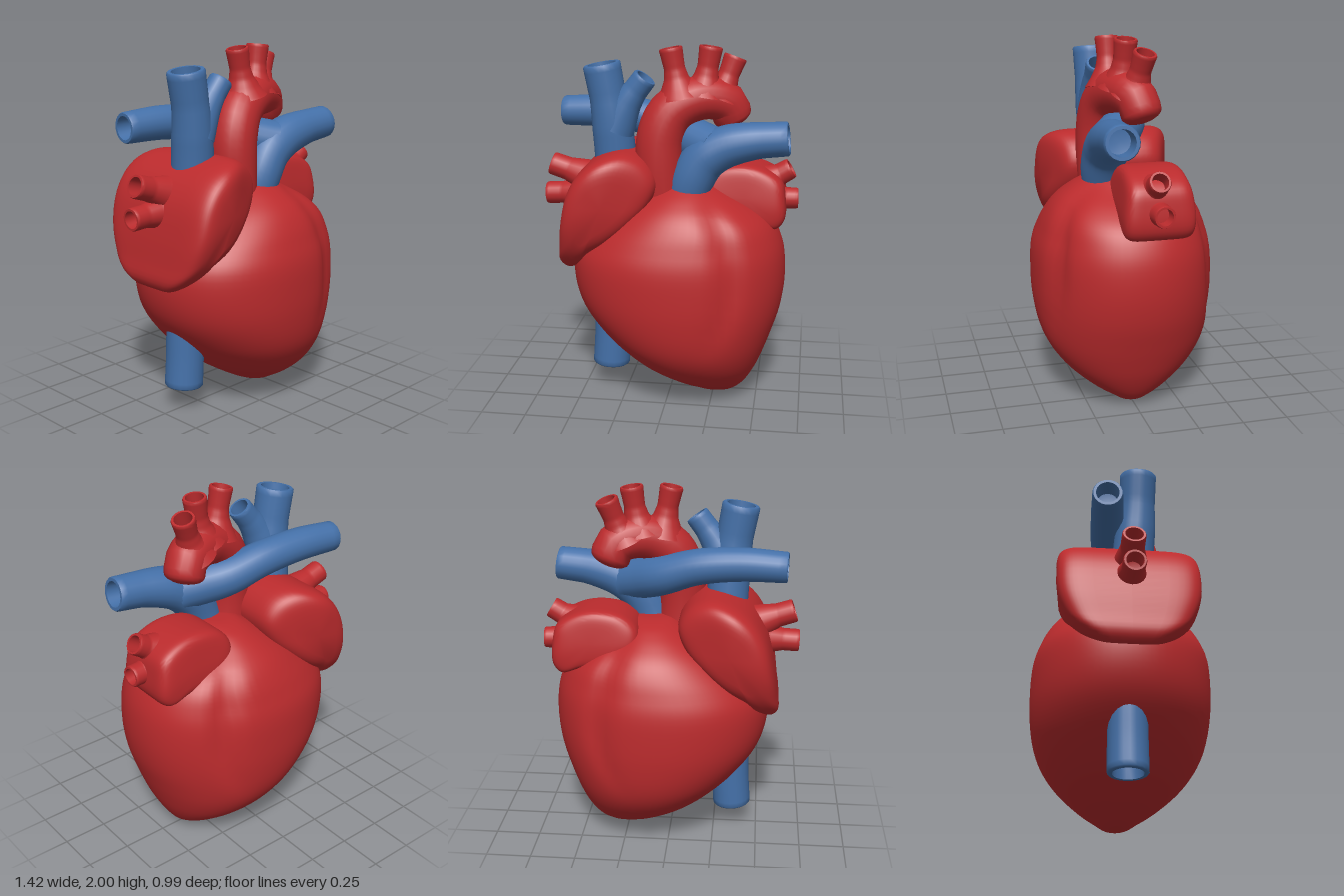
import * as THREE from 'three';
import { toCreasedNormals } from 'three/addons/utils/BufferGeometryUtils.js';

const V = (x, y, z = 0) => new THREE.Vector3(x, y, z);
const smooth = THREE.MathUtils.smoothstep;

// Skin a list of closed rings, each turning counter-clockwise about the travel direction
function loft(rings, crease = 0.9) {
  const n = rings[0].length, index = [];
  for (let i = 0; i < rings.length - 1; i++) {
    for (let j = 0; j < n; j++) {
      const k = (j + 1) % n, a = i * n + j, b = i * n + k;
      index.push(a, b, a + n, a + n, b, b + n);
    }
  }
  const geometry = new THREE.BufferGeometry().setFromPoints(rings.flat());
  geometry.setIndex(index);
  return toCreasedNormals(geometry, crease);
}

// Tapering vessel along a curve; open ends get a rim and a hollow, round ends a dome
function vessel(points, radii, end = 'open', sides = 20) {
  const curve = new THREE.CatmullRomCurve3(points.map(p => V(...p)));
  const steps = 24;
  const { normals, binormals, tangents } = curve.computeFrenetFrames(steps);
  const ring = (i, r, slide = 0) => {
    const c = curve.getPointAt(i / steps).addScaledVector(tangents[i], slide);
    return Array.from({ length: sides }, (_, j) => {
      const a = j / sides * Math.PI * 2;
      return c.clone().addScaledVector(normals[i], r * Math.cos(a)).addScaledVector(binormals[i], r * Math.sin(a));
    });
  };
  const radiusAt = t => {
    const f = t * (radii.length - 1), k = Math.min(Math.floor(f), radii.length - 2);
    return THREE.MathUtils.lerp(radii[k], radii[k + 1], f - k);
  };
  const rings = [ring(0, 0)];
  for (let i = 0; i <= steps; i++) rings.push(ring(i, radiusAt(i / steps)));
  const r = radii.at(-1);
  if (end === 'open') {
    rings.push(ring(steps, r * 0.94, 0.008), ring(steps, r * 0.76, 0.008), ring(steps, r * 0.7, -0.1), ring(steps, 0, -0.11));
  } else {
    for (const a of [0.35, 0.7, 1.05, 1.3, Math.PI / 2]) rings.push(ring(steps, r * Math.cos(a), r * 0.45 * Math.sin(a)));
  }
  return loft(rings);
}

// Rounded slab: a closed outline lofted through z, its depth scaled by a rule over x and y
function softSlab(outline, center, z0, z1, taper) {
  const pts = new THREE.CatmullRomCurve3(outline.map(p => V(...p)), true).getPoints(56).slice(0, -1);
  const rings = [], steps = 28, power = 0.3;
  for (let i = 0; i <= steps; i++) {
    const a = (i / steps - 0.5) * Math.PI;
    const s = i % steps ? Math.pow(Math.cos(a), power) : 0;
    const z = Math.sign(a) * Math.pow(Math.abs(Math.sin(a)), power);
    rings.push(pts.map(p => {
      const x = center[0] + (p.x - center[0]) * s, y = center[1] + (p.y - center[1]) * s;
      return V(x, y, (z0 + z1) / 2 + z * (z1 - z0) / 2 * taper(x, y));
    }));
  }
  return loft(rings, 1.2);
}

// Ventricles: [y, right edge, left edge, half depth], with the groove between them pressed in
function ventricleGeometry() {
  const rows = [
    [0, 0.28, 0.28, 0], [0.015, 0.17, 0.36, 0.07], [0.05, 0.085, 0.41, 0.13], [0.1, -0.01, 0.45, 0.215],
    [0.2, -0.17, 0.505, 0.34], [0.3, -0.29, 0.545, 0.42], [0.4, -0.39, 0.58, 0.465], [0.55, -0.5, 0.625, 0.492],
    [0.7, -0.545, 0.645, 0.497], [0.85, -0.54, 0.64, 0.488], [0.95, -0.48, 0.615, 0.46], [1.05, -0.37, 0.56, 0.42],
    [1.13, -0.26, 0.46, 0.365], [1.2, -0.14, 0.33, 0.28], [1.25, -0.05, 0.25, 0.19], [1.275, 0, 0.2, 0.1], [1.28, 0.1, 0.1, 0],
  ];
  const edges = new THREE.CatmullRomCurve3(rows.map(r => V(r[1], r[0], r[2])));
  const depths = new THREE.CatmullRomCurve3(rows.map(r => V(r[3], r[0], 0)));
  const groove = new THREE.SplineCurve([[0.2, 0.1], [0.27, 0.4], [0.35, 0.6], [0.37, 0.82], [0.32, 1.02], [0.25, 1.2]].map(p => new THREE.Vector2(...p))).getPoints(40);
  const rings = [], steps = 64, sides = 72;
  for (let i = 0; i <= steps; i++) {
    const e = edges.getPoint(i / steps), depth = Math.max(0, depths.getPoint(i / steps).x);
    const cx = (e.x + e.z) / 2, w = Math.abs(e.z - e.x) / 2;
    const gx = groove.reduce((m, g) => Math.abs(g.y - e.y) < Math.abs(m.y - e.y) ? g : m).x;
    const press = 0.08 * smooth(e.y, 0.3, 0.85);
    rings.push(Array.from({ length: sides }, (_, j) => {
      const a = j / sides * Math.PI * 2, c = Math.cos(a), s = Math.sin(a);
      const x = cx + w * Math.sign(c) * Math.pow(Math.abs(c), 0.94);
      const dent = 1 - press * Math.exp(-(((x - gx) / 0.065) ** 2));
      return V(x, Math.max(0, e.y), -depth * Math.sign(s) * Math.pow(Math.abs(s), 0.94) * dent);
    }));
  }
  return loft(rings, 1.3);
}

export function createModel() {
  const model = new THREE.Group();
  model.name = 'heart';
  const red = new THREE.MeshStandardMaterial({ color: 0xbb2b2d });
  red.name = 'muscleRed';
  const blue = new THREE.MeshStandardMaterial({ color: 0x4470a8 });
  blue.name = 'veinBlue';
  const add = (name, geometry, material) => {
    const mesh = new THREE.Mesh(geometry, material);
    mesh.name = name;
    model.add(mesh);
  };

  add('ventricles', ventricleGeometry(), red);

  // Atria: the right one narrows towards its lower tip and its inner edge
  add('rightAtrium', softSlab([
    [-0.605, 0.8], [-0.57, 0.75], [-0.5, 0.78], [-0.44, 0.85], [-0.32, 0.93], [-0.19, 1.04], [-0.08, 1.17], [-0.05, 1.29],
    [-0.11, 1.39], [-0.22, 1.44], [-0.34, 1.42], [-0.45, 1.35], [-0.53, 1.23], [-0.575, 1.05], [-0.595, 0.9],
  ], [-0.33, 1.16], -0.39, 0.385, (x, y) => {
    const drop = THREE.MathUtils.clamp((1.15 - y) / 0.42, 0, 1);
    return (1 - 0.25 * smooth(x, -0.4, -0.04)) * Math.sqrt(1 - 0.88 * drop * drop);
  }), red);
  add('leftAtrium', softSlab([
    [0.2, 1.13], [0.34, 1.05], [0.48, 1.03], [0.59, 1.0], [0.635, 1.05], [0.635, 1.18], [0.61, 1.27],
    [0.52, 1.33], [0.4, 1.355], [0.25, 1.33], [0.17, 1.26], [0.16, 1.18],
  ], [0.42, 1.18], -0.27, 0.12, (x, y) => 1 - 0.15 * smooth(y, 1.1, 1.36)), red);

  // Aorta and its three branches
  add('aorta', vessel([
    [-0.04, 1.15, 0.08], [-0.055, 1.35, 0.09], [-0.045, 1.52, 0.085], [0.01, 1.64, 0.07], [0.12, 1.705, 0.04],
    [0.23, 1.71, 0], [0.305, 1.675, -0.03], [0.33, 1.61, -0.045],
  ], [0.13, 0.13, 0.13, 0.13, 0.125, 0.12, 0.115, 0.108], 'round'), red);
  [
    [[0.055, 1.72, 0.06], [0.03, 1.85, 0.06], [0.005, 1.975, 0.06]],
    [[0.175, 1.73, 0.02], [0.197, 1.86, 0.015], [0.215, 1.98, 0.01]],
    [[0.26, 1.7, -0.02], [0.3, 1.81, -0.04], [0.34, 1.92, -0.06]],
  ].forEach((path, i) => add('aorticBranch' + (i + 1), vessel(path, [0.13, 0.095, 0.068, 0.057, 0.06, 0.064]), red));

  // Pulmonary veins, two on each side
  add('leftUpperVein', vessel([[0.5, 1.23, -0.05], [0.58, 1.275, -0.05], [0.655, 1.32, -0.05]], [0.11, 0.085, 0.06, 0.058]), red);
  add('leftLowerVein', vessel([[0.52, 1.15, -0.06], [0.61, 1.15, -0.06], [0.695, 1.15, -0.065]], [0.1, 0.08, 0.06, 0.058]), red);
  add('rightUpperVein', vessel([[-0.42, 1.23, 0], [-0.55, 1.28, 0], [-0.67, 1.32, 0]], [0.12, 0.09, 0.065, 0.064]), red);
  add('rightLowerVein', vessel([[-0.46, 1.16, 0], [-0.6, 1.155, 0], [-0.7, 1.15, 0]], [0.11, 0.08, 0.062, 0.062]), red);

  // Great veins
  add('superiorVenaCava', vessel([[-0.3, 1.2, 0.02], [-0.31, 1.45, 0.04], [-0.33, 1.65, 0.055], [-0.37, 1.885, 0.06]], [0.12, 0.115, 0.112, 0.1, 0.103]), blue);
  add('venaCavaBranch', vessel([[-0.3, 1.55, 0.05], [-0.23, 1.69, 0.065], [-0.135, 1.82, 0.075]], [0.11, 0.095, 0.08, 0.068, 0.066]), blue);
  add('inferiorVenaCava', vessel([[-0.33, 0.8, 0], [-0.34, 0.5, 0], [-0.345, 0.3, 0], [-0.355, 0.14, 0]], [0.105, 0.105, 0.108]), blue);

  // Pulmonary artery: trunk into the left branch, and the right branch passing behind the aorta
  add('pulmonaryTrunk', vessel([
    [0.1, 1.17, 0.1], [0.13, 1.28, 0.115], [0.2, 1.4, 0.115], [0.3, 1.465, 0.12], [0.44, 1.503, 0.13], [0.64, 1.525, 0.14],
  ], [0.115, 0.12, 0.122, 0.112, 0.097, 0.092]), blue);
  add('rightPulmonaryArtery', vessel([
    [0.25, 1.45, 0.11], [0.15, 1.48, 0.04], [0.03, 1.52, -0.04], [-0.15, 1.58, -0.09], [-0.38, 1.605, -0.115], [-0.62, 1.6, -0.135],
  ], [0.12, 0.115, 0.1, 0.095, 0.09, 0.083]), blue);

  return model;
}
